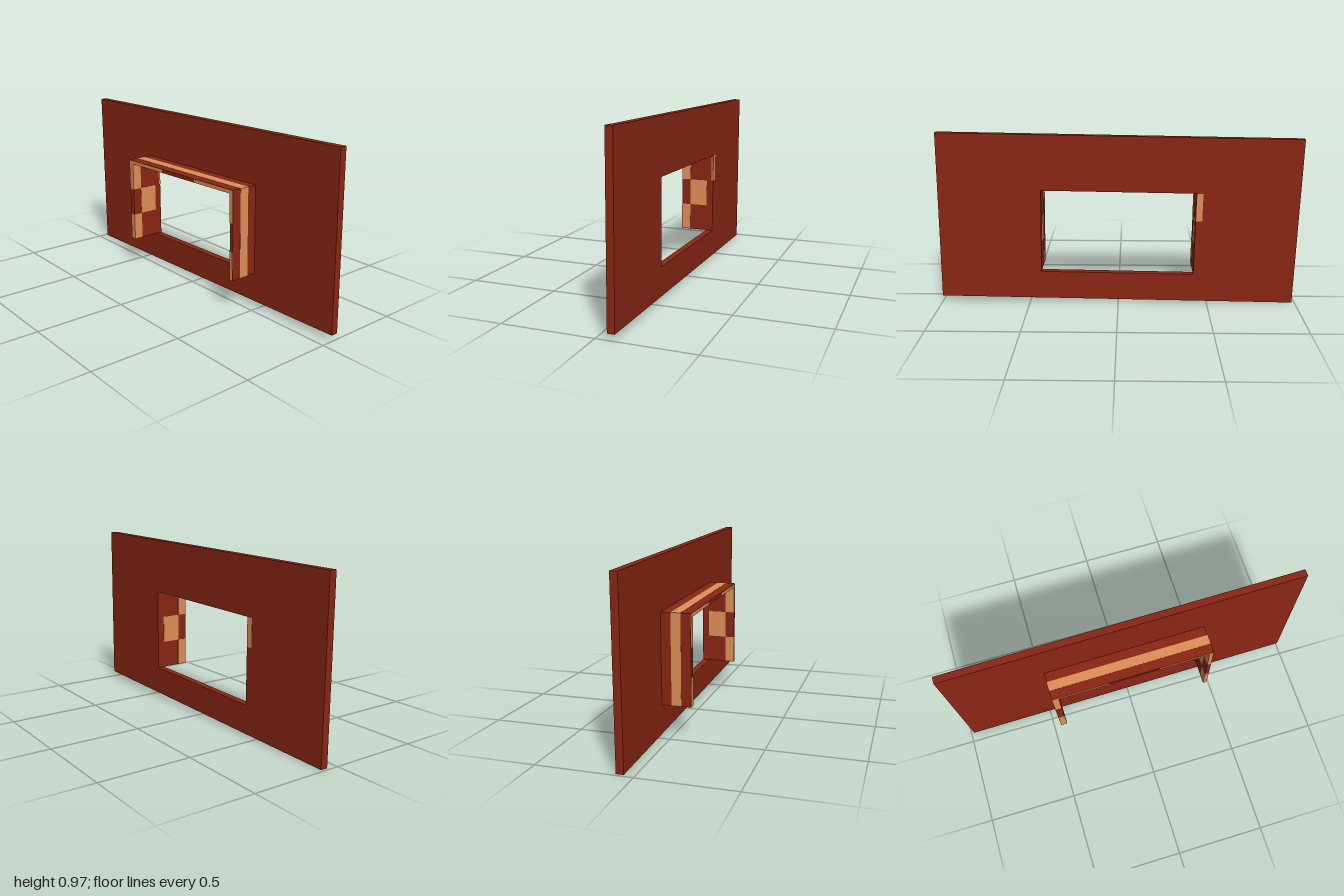
import * as THREE from 'three';

export function createModel() {
  const model = new THREE.Group();
  model.name = 'wallWithWindow';
  const brick = new THREE.MeshStandardMaterial({ color: 0x8a2614 });
  const stone = new THREE.MeshStandardMaterial({ color: 0xdf9058 });

  // Main levels: x through the wall, y up, z along the wall
  const wallBack = -0.0195, wallFront = 0.0195, back = -0.178;
  const halfLength = 0.9923, halfHeight = 0.4685;
  const open = { z: 0.427, bottom: -0.31, top: 0.16 };
  const outer = { zMin: -0.463, zMax: 0.449, top: 0.181 };
  const proud = 0.001;
  const row = (i) => open.bottom + (i * (open.top - open.bottom)) / 3;
  const column = (i) => back + (i * (wallBack - back)) / 3;

  function add(name, geometry, material) {
    const mesh = new THREE.Mesh(geometry, material);
    mesh.name = name;
    model.add(mesh);
  }
  // Box given by its limits on each axis
  function inlay(name, [x0, x1], [y0, y1], [z0, z1]) {
    const g = new THREE.BoxGeometry(x1 - x0, y1 - y0, z1 - z0);
    g.translate((x0 + x1) / 2, (y0 + y1) / 2, (z0 + z1) / 2);
    add(name, g, stone);
  }
  // Outline in (z, y), extruded between two x positions
  function slab(name, shape, x0, x1) {
    const g = new THREE.ExtrudeGeometry(shape, { depth: x1 - x0, bevelEnabled: false });
    g.rotateY(-Math.PI / 2).translate(x1, 0, 0);
    add(name, g, brick);
  }
  const outline = (points) => points.map(([z, y]) => new THREE.Vector2(z, y));
  const rectangle = (z, y0, y1) => outline([[-z, y0], [z, y0], [z, y1], [-z, y1]]);

  // Wall with its window opening
  const wall = new THREE.Shape(rectangle(halfLength, -halfHeight, halfHeight));
  wall.holes.push(new THREE.Path(rectangle(open.z, open.bottom, open.top)));
  slab('wall', wall, wallBack, wallFront);

  // Projecting surround: two jambs and a lintel, no sill
  slab('windowSurround', new THREE.Shape(outline([
    [outer.zMin, open.bottom], [-open.z, open.bottom], [-open.z, open.top],
    [open.z, open.top], [open.z, open.bottom], [outer.zMax, open.bottom],
    [outer.zMax, outer.top], [outer.zMin, outer.top],
  ])), back, wallBack);

  // Light stripe around the outside of the surround
  const stripe = [column(1), column(2)];
  inlay('lintelStripe', stripe, [outer.top - 0.005, outer.top + proud], [outer.zMin - proud, outer.zMax + proud]);
  inlay('backJambStripe', stripe, [open.bottom, outer.top], [outer.zMin - proud, outer.zMin + 0.005]);
  inlay('frontJambStripe', stripe, [open.bottom, outer.top], [outer.zMax - 0.005, outer.zMax + proud]);

  // Chequered blocks on the inner faces and rear ends of the jambs
  for (const side of [-1, 1]) {
    const edge = side < 0 ? outer.zMin : outer.zMax;
    const face = side * (open.z - proud);
    const span = (a, b) => [Math.min(a, b), Math.max(a, b)];
    const name = side < 0 ? 'backJamb' : 'frontJamb';
    for (const i of [0, 2]) {
      inlay(name + 'Block', [back - proud, column(1)], [row(i), row(i + 1)], span(face, edge - side * 0.002));
    }
    inlay(name + 'MiddleBlock', [column(1), wallBack], [row(1), row(2)], span(face, side * (open.z + 0.01)));

    // Light end third of the lintel's rear edge
    inlay('lintelEndBlock', [back - proud, back + 0.01], [open.top, outer.top - 0.002],
      span(side * open.z / 3, edge - side * 0.002));
  }

  // Single light block showing on the wall face
  inlay('wallFaceBlock', [wallFront - 0.01, wallFront + proud], [row(2), row(3)], [outer.zMin, -open.z]);

  // The whole wall leans and turns very slightly
  model.rotation.set(-0.0165, 0.004, 0);
  model.position.set(0.0765, 0.485, 0);
  const root = new THREE.Group();
  root.name = 'windowWall';
  root.add(model);
  return root;
}
